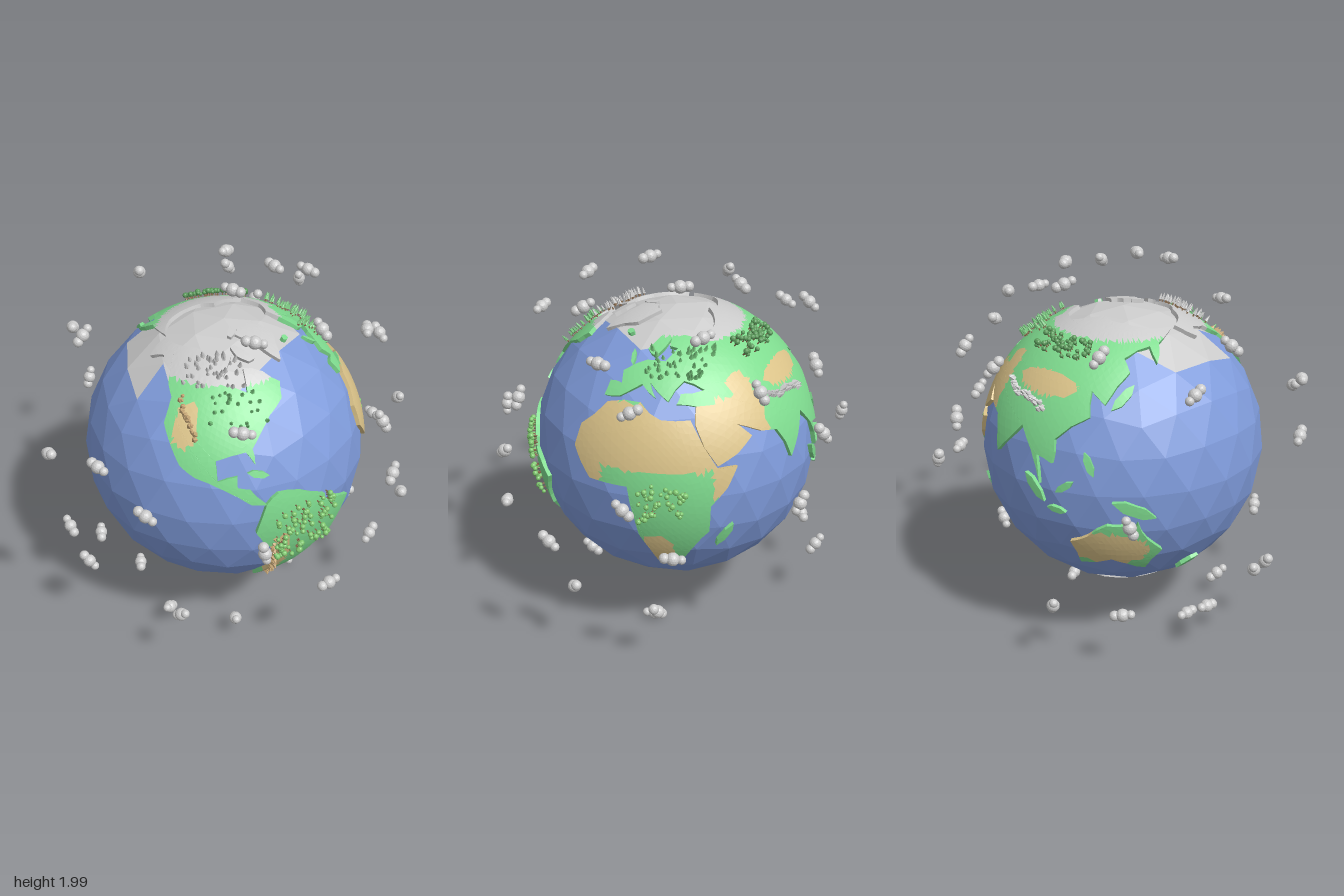
import * as THREE from 'three';
import { mergeGeometries } from 'three/addons/utils/BufferGeometryUtils.js';

const R = 0.745, TOP = 0.757, FLOOR = 0.7, DEG = Math.PI / 180;
const COLORS = { Green: 0x80dd90, Dry: 0xdcc48a, Snow: 0xcccccc };

let seed = 7;
const rand = () => (seed = (seed * 16807) % 2147483647) / 2147483647;
const spread = (size) => (rand() - 0.5) * size;

// Longitude and latitude in degrees to a point; the front is 90 degrees west
function onGlobe(lon, lat, r) {
  return new THREE.Vector3().setFromSphericalCoords(r, (90 - lat) * DEG, (lon + 90) * DEG);
}
// Flat polar chart of the southern cap, in degrees from the pole
const southPolar = (u, v, r) => onGlobe(-Math.atan2(v, u) / DEG, Math.hypot(u, v) - 90, r);

// Coast outlines as longitude, latitude pairs
const northAmerica = [-166,66,-158,57,-148,61,-134,57,-124,48,-123,38,-112,24,-105,20,-94,16,-83,9,-77,8,-83,15,-88,16,
  -88,21,-96,19,-97,27,-84,30,-80.5,25,-81,31,-70,42,-60,47,-56,53,-64,59,-78,62,-79,52,-94,59,-86,68,-125,70];
const southAmerica = [-77,8,-72,12,-62,10,-51,4,-50,0,-35,-6,-39,-14,-41,-22,-48,-26,-57,-37,-65,-43,-68,-54,-75,-50,
  -72,-36,-70,-18,-77,-13,-81,-5,-79,2];
const africa = [-17,15,-16,24,-6,35,10,37,20,31,33,31,43,12,51,12,40,-3,40,-15,35,-22,31,-30,19,-34,12,-17,9,-1,8,4.5,-8,4.5];
const eurasia = [-9,37,-9,43,-2,43,-4,48,8,54,20,54,28,60,22,61,23,65,13,56,6,59,12,65,25,71,68,68,104,77,140,72,189,66,
  164,60,157,51,156,59,137,54,140,48,128,35,121,40,122,30,108,20,108,11,101,13,103,2,98,14,91,22,78,8,72,21,57,26,49,30,
  59,22,43,13,35,29,36,36,27,37,29,41,41,42,31,46,23,38,13,45,17,39,9,44,-1,38];
const australia = [114,-22,122,-18,130,-12,136,-12,140,-17,142,-11,146,-19,153,-26,147,-38,138,-34,131,-31,116,-35];
const northIceIsland = [-73,78,-52,69,-45,60,-22,70,-12,81,-45,83];
// Islands, each from one end to the other
const islands = [[44,-24,50,-13], [0,51,-4,58], [-23,65,-15,65], [131,33,142,43], [96,5,105,-5], [106,-7,114,-8],
  [110,0,117,5], [132,-2,149,-9], [121,17,125,8], [168,-46,177,-38], [-84,22,-75,20], [-86,72,-65,65], [-88,78,-68,82]];
// Dry ovals: centre and half sizes
const deserts = [[19,-25,7,8], [95,40,19,5], [60,42,7,5], [130,-25,17,9], [-112,39,6,9], [-69,-30,4,22]];
// Clouds as longitude, latitude pairs
const clouds = [-75,82,30,72,85,68,-75,62,39,53,-31,57,-87,37,127,45,-4,43,-177,44,160,33,12,31,56,35,85,36,-33,25,-134,20,
  -116,11,-159,11,-34,8,12,4,-82,1,138,-2,76,18,64,1,26,-11,-14,-14,-58,-22,-109,-34,-13,-35,20,-40,136,-40,109,-39,
  -173,-30,-157,-35,174,-45,-128,-58,-87,-58,-179,-61,8,-69];

function biome(lon, lat) {
  const snowLine = lon < -30 ? 55 : lon < 40 ? 66 : 62;
  if (lat > snowLine) return 'Snow';
  const south = lon < -3 ? 5 : lon > 41 ? 0 : 11, north = lon > 44 ? 38 : 36;
  const sahara = lon > -20 && lon < 68 && lat > south && lat < north;
  return sahara || deserts.some(([x, y, a, b]) => Math.hypot((lon - x) / a, (lat - y) / b) < 1) ? 'Dry' : 'Green';
}

const toPoints = (flat) => Array.from({ length: flat.length / 2 }, (_, i) => new THREE.Vector2(flat[2 * i], flat[2 * i + 1]));

// Adds a small bay or headland to the middle of each coast edge
const roughen = (pts) => pts.flatMap((p, i) => {
  const q = pts[(i + 1) % pts.length], d = q.clone().sub(p), k = spread(0.14);
  return [p, p.clone().lerp(q, 0.5).add(new THREE.Vector2(-d.y * k, d.x * k))];
});

// A slim six-sided outline between two ends
function islandOutline([x0, y0, x1, y1]) {
  const a = new THREE.Vector2(x0, y0), d = new THREE.Vector2(x1, y1).sub(a), w = 0.1 + 0.4 / d.length();
  return [[0, 0], [0.3, -w], [0.75, -w], [1, 0], [0.7, w], [0.25, w]].map(([t, s]) =>
    new THREE.Vector2(a.x + d.x * t - d.y * s, a.y + d.y * t + d.x * s));
}

function faceted(pos) {
  const g = new THREE.BufferGeometry();
  g.setAttribute('position', new THREE.Float32BufferAttribute(pos, 3));
  g.computeVertexNormals();
  return g;
}

// Curved slab from an outline: subdivided top plus cliff walls, sorted by biome
function slab(pts, kind = biome, map = onGlobe) {
  if (THREE.ShapeUtils.isClockWise(pts)) pts.reverse();
  const parts = { Green: [], Dry: [], Snow: [] }, MAX = 4;
  const put = (list, p, r) => list.push(...map(p.x, p.y, r).toArray());
  const split = (a, b, c) => {
    const ab = a.distanceTo(b), bc = b.distanceTo(c), ca = c.distanceTo(a), longest = Math.max(ab, bc, ca);
    if (longest <= MAX) {
      const list = parts[kind((a.x + b.x + c.x) / 3, (a.y + b.y + c.y) / 3)];
      [a, b, c].forEach((p) => put(list, p, TOP));
      return;
    }
    if (bc === longest) [a, b, c] = [b, c, a];
    else if (ca === longest) [a, b, c] = [c, a, b];
    const mid = a.clone().lerp(b, 0.5);
    split(a, mid, c);
    split(mid, b, c);
  };
  for (const [a, b, c] of THREE.ShapeUtils.triangulateShape(pts, [])) split(pts[a], pts[b], pts[c]);
  pts.forEach((p, i) => {
    const q = pts[(i + 1) % pts.length], n = Math.ceil(p.distanceTo(q) / MAX);
    for (let k = 0; k < n; k++) {
      const a = p.clone().lerp(q, k / n), b = p.clone().lerp(q, (k + 1) / n);
      const list = parts[kind((a.x + b.x) / 2, (a.y + b.y) / 2)];
      for (const [v, r] of [[a, FLOOR], [b, FLOOR], [b, TOP], [a, FLOOR], [b, TOP], [a, TOP]]) put(list, v, r);
    }
  });
  return parts;
}

// Stands a part (base at y = 0) upright on the ground
function stand(geo, p, turn, scale) {
  const up = new THREE.Vector3(0, 1, 0);
  const q = new THREE.Quaternion().setFromUnitVectors(up, p.clone().normalize());
  q.multiply(new THREE.Quaternion().setFromAxisAngle(up, turn));
  return geo.clone().applyMatrix4(new THREE.Matrix4().compose(p, q, new THREE.Vector3(scale, scale, scale)));
}
const raise = (g, y) => (g.index ? g.toNonIndexed() : g).translate(0, y, 0);
const trunk = raise(new THREE.CylinderGeometry(0.003, 0.004, 0.025, 5), 0.01);
const roundCrown = raise(new THREE.IcosahedronGeometry(0.014, 1), 0.028);
const pineCrown = mergeGeometries([0, 1, 2].map((i) =>
  raise(new THREE.ConeGeometry(0.012 - i * 0.0025, 0.018, 6), 0.021 + i * 0.01)));
const peak = raise(new THREE.ConeGeometry(0.018, 0.03, 5), 0.012);
// Three puffs in a row
const cloud = mergeGeometries([-1, 0, 1].map((i) =>
  new THREE.IcosahedronGeometry(i ? 0.025 + i * 0.002 : 0.034, 2).translate(i * 0.042, 0, 0)));

export function createModel() {
  const globe = new THREE.Group();
  globe.name = 'globe';
  globe.position.set(-0.025, 0.97, -0.03);
  const add = (name, geo, color) => {
    const mesh = new THREE.Mesh(geo, new THREE.MeshStandardMaterial({ color, flatShading: true }));
    mesh.name = name;
    globe.add(mesh);
  };

  // Faceted ocean, with its polar faces as ice
  const ball = new THREE.IcosahedronGeometry(R, 3).rotateZ(-Math.atan(2 / (1 + Math.sqrt(5))));
  const P = ball.attributes.position, sea = [], ice = [];
  for (let i = 0; i < P.count; i += 3) {
    const tri = [0, 1, 2].map((k) => new THREE.Vector3().fromBufferAttribute(P, i + k));
    const c = tri[0].clone().add(tri[1]).add(tri[2]).normalize();
    const frozen = c.y < -0.85 || (c.y > 0 && Math.hypot(c.x + 0.12, c.z - 0.05) < 0.53);
    tri.forEach((v) => (frozen ? ice : sea).push(v.x, v.y, v.z));
  }
  add('ocean', faceted(sea), 0x809cdc);
  add('polarIce', faceted(ice), COLORS.Snow);

  // Land, split into green, dry and snowy parts
  const addLand = (name, parts) => {
    for (const key in parts) if (parts[key].length) add(name + key, faceted(parts[key]), COLORS[key]);
  };
  const continents = { northAmerica, southAmerica, africa, eurasia, australia, northIceIsland };
  for (const name in continents) addLand(name, slab(roughen(toPoints(continents[name]))));
  for (const ends of islands) addLand('island', slab(islandOutline(ends)));
  const cap = Array.from({ length: 16 }, (_, i) => {
    const a = i * Math.PI / 8, d = 18.5 - 2 * Math.cos(a) + 2 * Math.sin(3 * a);
    return new THREE.Vector2(d * Math.cos(a), d * Math.sin(a));
  });
  addLand('southIceCap', slab(cap, () => 'Snow', southPolar));

  // Trees: middle longitude and latitude, extent of each, count
  const forests = [
    ['rainforest', roundCrown, 0x80c870, -60, -8, 27, 26, 70], ['jungle', roundCrown, 0x80c870, 22, -1, 20, 15, 36],
    ['northForest', roundCrown, 0x5c9c5c, 92, 55, 45, 9, 46], ['europeanForest', pineCrown, 0x74c07a, 32, 53, 46, 13, 56],
    ['easternForest', pineCrown, 0x74c07a, -86, 46, 30, 14, 24], ['snowyForest', pineCrown, 0xbbbbbb, -102, 61, 44, 15, 40],
  ];
  for (const [name, crown, color, lon, lat, width, height, count] of forests) {
    const spots = Array.from({ length: count }, () =>
      [onGlobe(lon + spread(width), lat + spread(height), TOP), rand() * 6, 0.75 + 0.4 * rand()]);
    add(name, mergeGeometries(spots.map((s) => stand(crown, ...s))), color);
    add(name + 'Trunks', mergeGeometries(spots.map((s) => stand(trunk, ...s))), 0x86694c);
  }

  // Mountain ranges from one end to the other
  const ranges = [['highRange', COLORS.Snow, 70, 37, 100, 29, 46], ['westernRange', 0xc8a878, -118, 50, -107, 34, 20],
    ['southernRange', 0xc8a878, -73, -11, -69, -46, 26]];
  for (const [name, color, x0, y0, x1, y1, n] of ranges) {
    const peaks = Array.from({ length: n }, (_, i) => {
      const t = i / (n - 1), bend = 1.5 * Math.sin(t * Math.PI * 2);
      return stand(peak, onGlobe(x0 + (x1 - x0) * t + spread(2), y0 + (y1 - y0) * t - bend + spread(2), TOP),
        rand() * 6, 0.6 + 0.5 * rand());
    });
    add(name, mergeGeometries(peaks), color);
  }

  // Clouds hovering high over the ground
  for (const { x, y } of toPoints(clouds)) add('cloud', stand(cloud, onGlobe(x, y, 1), rand() * 6, 1), COLORS.Snow);

  const model = new THREE.Group();
  model.add(globe);
  return model;
}
